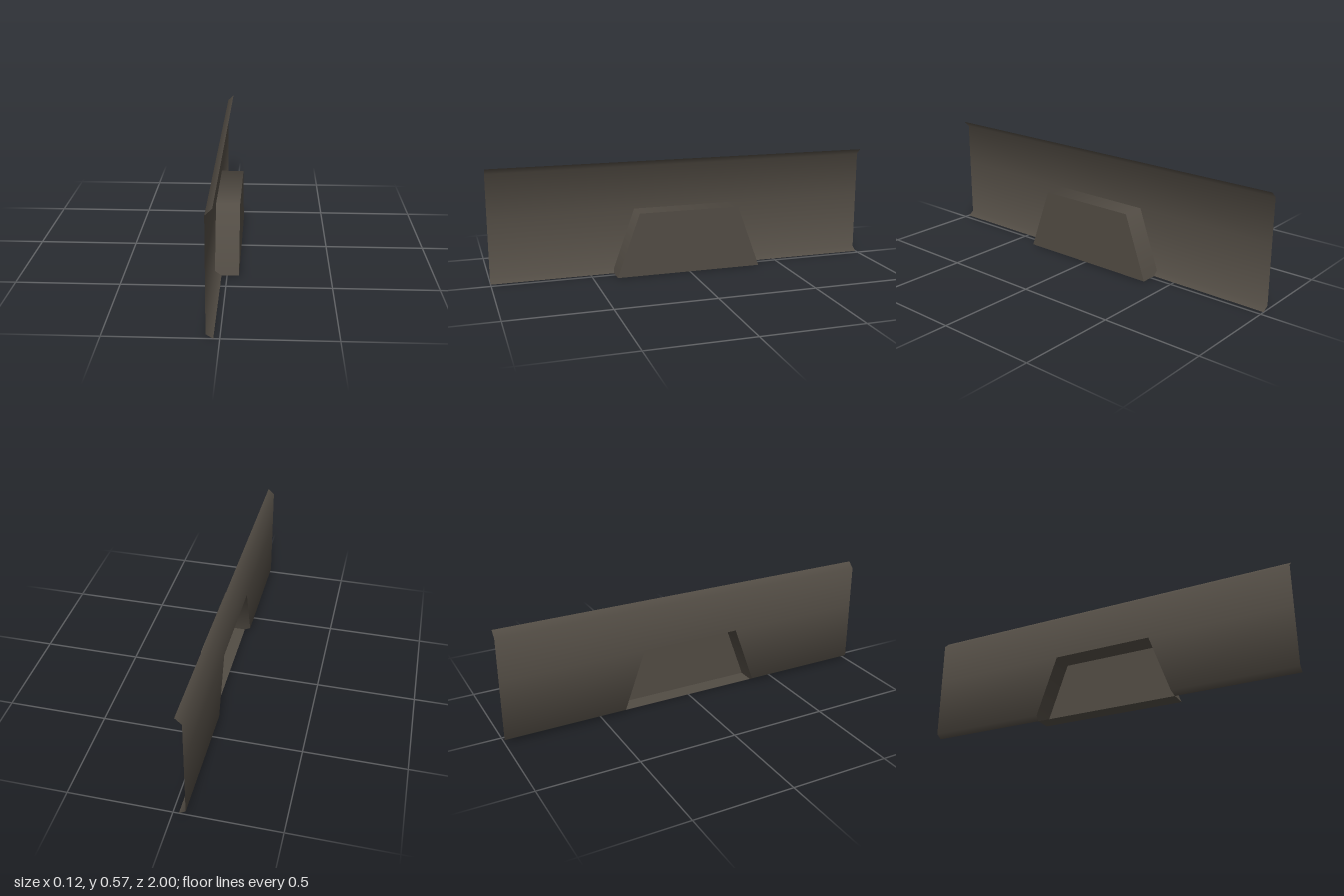
import * as THREE from 'three';

const BACK = -0.059, LIP = -0.027, FRONT = 0.058; // x of panel, lip edges and bump face
const BUMP_TOP = 0.325;

// Half width of the trapezoid bump at height y
const halfWidth = (y) => 0.38 - 0.118 * Math.min(y / BUMP_TOP, 1);

// Averaged normals along a 2D polyline
function profileNormals(pts) {
  const seg = pts.slice(1).map((p, i) =>
    new THREE.Vector2(p[1] - pts[i][1], -(p[0] - pts[i][0])).normalize());
  return pts.map((_, i) => {
    const a = seg[Math.max(i - 1, 0)], b = seg[Math.min(i, seg.length - 1)];
    return a.clone().add(b).normalize();
  });
}

// Surface from rows of points and normals; skip(r, c) leaves openings
function patch(name, points, normals, material, skip = () => false) {
  const cols = points[0].length, index = [];
  for (let r = 0; r < points.length - 1; r++) {
    for (let c = 0; c < cols - 1; c++) {
      if (skip(r, c)) continue;
      const a = r * cols + c, b = a + cols;
      index.push(a, b, b + 1, a, b + 1, a + 1);
    }
  }
  const geo = new THREE.BufferGeometry();
  geo.setAttribute('position', new THREE.Float32BufferAttribute(points.flat(2), 3));
  geo.setAttribute('normal', new THREE.Float32BufferAttribute(normals.flat(2), 3));
  geo.setIndex(index);
  const mesh = new THREE.Mesh(geo, material);
  mesh.name = name;
  return mesh;
}

// Flat patch with one shared normal
const flatPatch = (name, points, n, material) =>
  patch(name, points, points.map((row) => row.map(() => n)), material);

export function createModel() {
  const group = new THREE.Group();
  group.name = 'bumpedPanel';
  const metal = new THREE.MeshStandardMaterial({ color: 0x524c44, side: THREE.DoubleSide });
  metal.name = 'darkGreyBrown';

  // Long panel with bent lips above and below, open behind the bump
  const profile = [[LIP, 0], [BACK, 0.02], [BACK, 0.545], [LIP, 0.575]];
  const norms = profileNormals(profile);
  const t = (BUMP_TOP - 0.02) / 0.525;
  norms.splice(2, 0, norms[1].clone().lerp(norms[2], t).normalize());
  profile.splice(2, 0, [BACK, BUMP_TOP]);
  const sheet = profile.map(([x, y]) =>
    [-1, -halfWidth(y), halfWidth(y), 1].map((z) => [x, y, z]));
  const sheetNormals = norms.map((n) => [0, 1, 2, 3].map(() => [n.x, n.y, 0]));
  group.add(patch('panel', sheet, sheetNormals, metal, (r, c) => c === 1 && r < 2));

  // Side and top walls of the bump, following the lip at the bottom
  const half = [[0, LIP], [0.02, BACK], [BUMP_TOP, BACK]];
  const loop = [
    ...half.map(([y, x]) => [y, -halfWidth(y), x]),
    ...half.slice().reverse().map(([y, x]) => [y, halfWidth(y), x]),
  ];
  const wallNormals = profileNormals(loop).map((n) => [0, n.x, n.y]);
  group.add(patch('bumpWalls', [
    loop.map(([y, z]) => [FRONT, y, z]),
    loop.map(([y, z, x]) => [x, y, z]),
  ], [wallNormals, wallNormals], metal));

  // Flat outer face and floor of the bump
  const rowAt = (x, y) => [-1, 1].map((s) => [x, y, s * halfWidth(y)]);
  group.add(flatPatch('bumpFace', [rowAt(FRONT, 0), rowAt(FRONT, BUMP_TOP)], [1, 0, 0], metal));
  group.add(flatPatch('bumpFloor', [rowAt(LIP, 0), rowAt(FRONT, 0)], [0, -1, 0], metal));

  return group;
}
